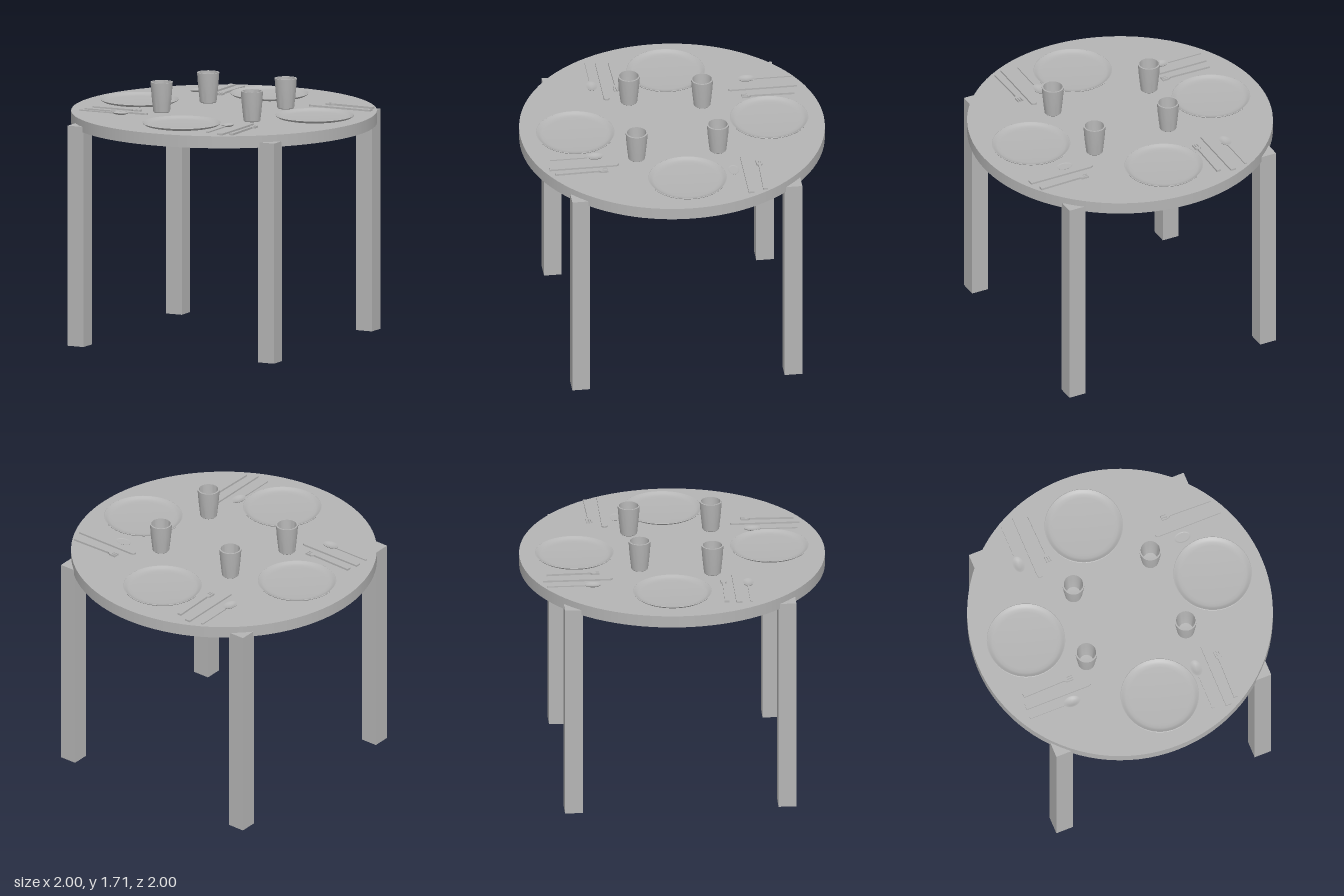
import * as THREE from 'three';
import { toCreasedNormals } from 'three/addons/utils/BufferGeometryUtils.js';

const TOP = 1.505; // height of the table surface

// Turned solid from [radius, height] pairs, with crisp corners
function turned(profile, segments) {
  const points = profile.map(([r, y]) => new THREE.Vector2(r, y));
  return toCreasedNormals(new THREE.LatheGeometry(points, segments), 0.6);
}

// Flat piece lying on the table: outline x, y becomes x, -z
function flatPiece(shape, height) {
  return new THREE.ExtrudeGeometry(shape, { depth: height, bevelEnabled: false, curveSegments: 10 })
    .rotateX(-Math.PI / 2);
}

function outline(points) {
  return new THREE.Shape(points.map(([x, y]) => new THREE.Vector2(x, y)));
}

export function createModel() {
  const model = new THREE.Group();
  model.name = 'diningTable';
  const grey = new THREE.MeshStandardMaterial({ color: 0xb4b4b4 });
  grey.name = 'plainGrey';

  function add(name, geometry, x, y, z, parent = model) {
    const mesh = new THREE.Mesh(geometry, grey);
    mesh.name = name;
    mesh.position.set(x, y, z);
    parent.add(mesh);
    return mesh;
  }

  // Round table top
  add('tableTop', new THREE.CylinderGeometry(1, 1, 0.08, 96), 0, TOP - 0.04, 0);

  // Four square legs, poking out beyond the round edge
  const legGeometry = new THREE.BoxGeometry(0.117, 1.46, 0.117);
  for (const x of [-0.7, 0.7]) {
    for (const z of [-0.7, 0.7]) add('leg', legGeometry, x, 0.73, z);
  }

  // Shallow plates with a raised rim
  const plateGeometry = turned([
    [0, 0], [0.215, 0], [0.24, 0.006], [0.254, 0.015], [0.257, 0.02], [0.254, 0.022],
    [0.249, 0.02], [0.238, 0.011], [0.222, 0.006], [0.2, 0.004], [0, 0.004],
  ], 64);
  for (const [x, z] of [[0.02, 0.64], [0.005, -0.64], [-0.645, -0.045], [0.66, -0.015]]) {
    add('plate', plateGeometry, x, TOP, z);
  }

  // Hollow tapered cups
  const cupGeometry = turned([
    [0, 0], [0.05, 0], [0.055, 0.005], [0.061, 0.06], [0.067, 0.12], [0.073, 0.2],
    [0.063, 0.2], [0.058, 0.12], [0.052, 0.06], [0.046, 0.02], [0, 0.015],
  ], 40);
  for (const [x, z] of [[-0.235, -0.23], [0.32, -0.26], [-0.335, 0.24], [0.35, 0.28]]) {
    add('cup', cupGeometry, x, TOP, z);
  }

  // Knife: straight bar with a rounded tip at the origin
  const knifeShape = new THREE.Shape();
  knifeShape.moveTo(-0.019, -0.455);
  knifeShape.lineTo(0.019, -0.455);
  knifeShape.lineTo(0.019, -0.019);
  knifeShape.absarc(0, -0.019, 0.019, 0, Math.PI, false);
  knifeShape.closePath();
  const knifeGeometry = flatPiece(knifeShape, 0.012);

  // Fork: tapering handle, narrow neck and three tines
  const forkGeometry = flatPiece(outline([
    [-0.015, -0.345], [0.015, -0.345], [0.009, -0.12], [0.008, -0.06], [0.02, -0.045],
    [0.02, 0], [0.012, 0], [0.011, -0.035], [0.005, -0.035], [0.004, 0],
    [-0.004, 0], [-0.005, -0.035], [-0.011, -0.035], [-0.012, 0], [-0.02, 0],
    [-0.02, -0.045], [-0.008, -0.06], [-0.009, -0.12],
  ]), 0.013);

  // Spoon: oval hollow bowl centred on the origin and a thin handle
  const bowlGeometry = turned([
    [0, 0], [0.6, 0.003], [0.9, 0.01], [1, 0.016], [0.9, 0.016], [0.6, 0.009], [0, 0.005],
  ], 28).scale(0.038, 1, 0.058);
  const spoonHandleGeometry = new THREE.BoxGeometry(0.015, 0.008, 0.245);

  function addSpoon(x, z, turn, sink) {
    const spoon = new THREE.Group();
    spoon.name = 'spoon';
    spoon.position.set(x, TOP - sink, z);
    spoon.rotation.y = turn;
    add('spoonBowl', bowlGeometry, 0, 0, 0, spoon);
    add('spoonHandle', spoonHandleGeometry, 0, 0.009, 0.1745, spoon);
    model.add(spoon);
  }

  // One set of cutlery per place: tips point towards the middle
  const places = [
    { turn: 0, spoon: [0.313, 0.55], knife: [0.415, 0.41], fork: [0.48, 0.487], sink: 0 },
    { turn: Math.PI, spoon: [-0.49, -0.555], knife: [-0.387, -0.42], fork: [-0.295, -0.5], sink: 0 },
    { turn: -Math.PI / 2, spoon: [-0.527, 0.46], knife: [-0.365, 0.38], fork: [-0.46, 0.3], sink: 0 },
    { turn: Math.PI / 2, spoon: [0.575, -0.33], knife: [0.415, -0.41], fork: [0.495, -0.505], sink: 0.0135 },
  ];
  for (const { turn, spoon, knife, fork, sink } of places) {
    addSpoon(...spoon, turn, sink);
    add('knife', knifeGeometry, knife[0], TOP, knife[1]).rotation.y = turn;
    add('fork', forkGeometry, fork[0], TOP, fork[1]).rotation.y = turn;
  }

  return model;
}
